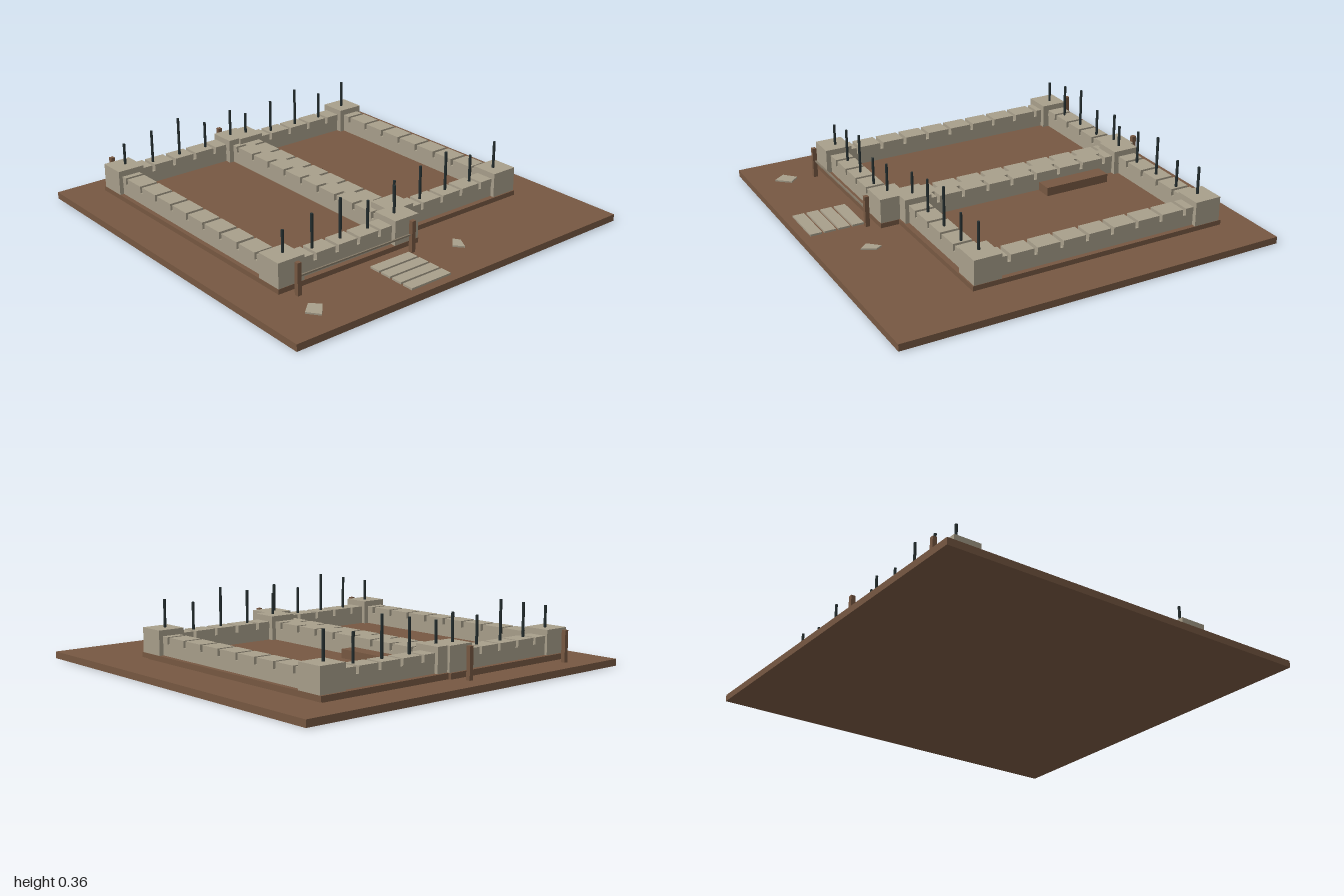
import * as THREE from 'three';

const mat = (name, color) => {
  const m = new THREE.MeshStandardMaterial({ color });
  m.name = name;
  return m;
};

export function createModel() {
  const root = new THREE.Group();
  root.name = 'foundationSite';
  const earth = mat('earth brown', 0x775842);
  const stone = mat('pale stone', 0xa89f8b);
  const steel = mat('dark steel', 0x263031);
  const cord = mat('grey cord', 0x857a68);

  // Box given by its minimum and maximum corners
  const box = (parent, name, material, x0, x1, y0, y1, z0, z1) => {
    const m = new THREE.Mesh(new THREE.BoxGeometry(x1 - x0, y1 - y0, z1 - z0), material);
    m.position.set((x0 + x1) / 2, (y0 + y1) / 2, (z0 + z1) / 2);
    m.name = name;
    parent.add(m);
    return m;
  };

  const GROUND = 0.035, FLOOR = 0.07, LEDGE = 0.13, WALL = 0.165, CORNER = 0.195;
  box(root, 'ground', earth, -1, 1, 0, GROUND, -1, 1);

  // Wall: continuous course below, separate blocks above with narrow gaps
  const wall = (parent, name, alongX, a0, a1, c, first, pitch, count) => {
    const g = new THREE.Group();
    g.name = name;
    parent.add(g);
    const piece = (n, s, e, y0, y1, half) => alongX
      ? box(g, n, stone, s, e, y0, y1, c - half, c + half)
      : box(g, n, stone, c - half, c + half, y0, y1, s, e);
    piece('lowerCourse', a0, a1, FLOOR, LEDGE, 0.047);
    let start = a0;
    for (let i = 0; i <= count; i++) {
      const gap = first + i * pitch;
      piece('block', start, i < count ? gap - 0.009 : a1, LEDGE, WALL, 0.049);
      start = gap + 0.009;
    }
  };

  const rodTops = [0.305, 0.335, 0.365, 0.305, 0.335];

  const room = (o) => {
    const g = new THREE.Group();
    g.name = o.name;
    root.add(g);
    // Stepped footing under the walls
    const [x0, x1, z0, z1] = o.slab;
    box(g, 'footing', earth, x0 + 0.02, x1 - 0.02, GROUND, 0.045, z0 + 0.02, z1 - 0.02);
    box(g, 'floorSlab', earth, x0, x1, 0.045, FLOOR, z0, z1);
    // Corner piers
    for (const x of o.cornerX) for (const z of o.cornerZ)
      box(g, 'cornerPier', stone, x - 0.072, x + 0.072, FLOOR, CORNER, z - 0.071, z + 0.071);
    // Front and back walls, then side walls
    for (const z of o.wallZ)
      wall(g, z > 0 ? 'frontWall' : 'backWall', true, o.cornerX[0], o.cornerX[1], z, ...o.gapsX);
    for (const x of o.wallX)
      wall(g, 'sideWall', false, o.cornerZ[0], o.cornerZ[1], x, ...o.gapsZ);
    // Upright reinforcing rods
    rodTops.forEach((top, i) => {
      for (const z of o.rodZ) {
        const rod = new THREE.Mesh(new THREE.CylinderGeometry(0.007, 0.007, top - 0.1, 8), steel);
        rod.position.set(o.rodX[0] + (o.rodX[1] - o.rodX[0]) * i / 4, (top + 0.1) / 2, z);
        rod.name = 'rod';
        g.add(rod);
      }
    });
  };

  room({
    name: 'longRoom', slab: [-0.81, 0.017, -0.847, 0.63],
    cornerX: [-0.737, -0.057], cornerZ: [-0.765, 0.557],
    wallX: [-0.74, -0.055], wallZ: [-0.775, 0.555],
    gapsX: [-0.585, 0.127, 4], gapsZ: [-0.655, 0.1364, 9],
    rodX: [-0.726, -0.069], rodZ: [-0.77, 0.552],
  });
  room({
    name: 'shortRoom', slab: [-0.07, 0.777, -0.832, 0.533],
    cornerX: [0.005, 0.703], cornerZ: [-0.75, 0.455],
    wallX: [0.005, 0.705], wallZ: [-0.755, 0.458],
    gapsX: [0.155, 0.131, 4], gapsZ: [-0.627, 0.1375, 8],
    rodX: [0.015, 0.692], rodZ: [-0.746, 0.457],
  });

  box(root, 'innerStep', earth, 0.058, 0.14, FLOOR, 0.115, -0.595, -0.235);

  // Setting-out posts with a cord along the front
  for (const x of [-0.733, -0.06]) for (const z of [0.67, -0.89])
    box(root, 'post', earth, x - 0.011, x + 0.011, GROUND, CORNER, z - 0.011, z + 0.011);
  box(root, 'cord', cord, -0.733, -0.06, 0.12, 0.128, 0.663, 0.671);

  // Path of flat slabs
  for (let i = 0; i < 4; i++) {
    const z = 0.706 + i * 0.0727;
    box(root, 'pathSlab', stone, -0.322, -0.085, GROUND, 0.045, z - 0.03, z + 0.03);
  }

  // Loose flat stones
  const looseStone = (pts) => {
    const shape = new THREE.Shape(pts.map(([x, z]) => new THREE.Vector2(x, -z)));
    const geo = new THREE.ExtrudeGeometry(shape, { depth: 0.008, bevelEnabled: false });
    geo.rotateX(-Math.PI / 2);
    const m = new THREE.Mesh(geo, stone);
    m.position.y = GROUND;
    m.name = 'looseStone';
    root.add(m);
  };
  looseStone([[-0.815, 0.82], [-0.755, 0.765], [-0.71, 0.81], [-0.77, 0.88]]);
  looseStone([[0.122, 0.755], [0.175, 0.7], [0.195, 0.735], [0.16, 0.8]]);

  return root;
}
